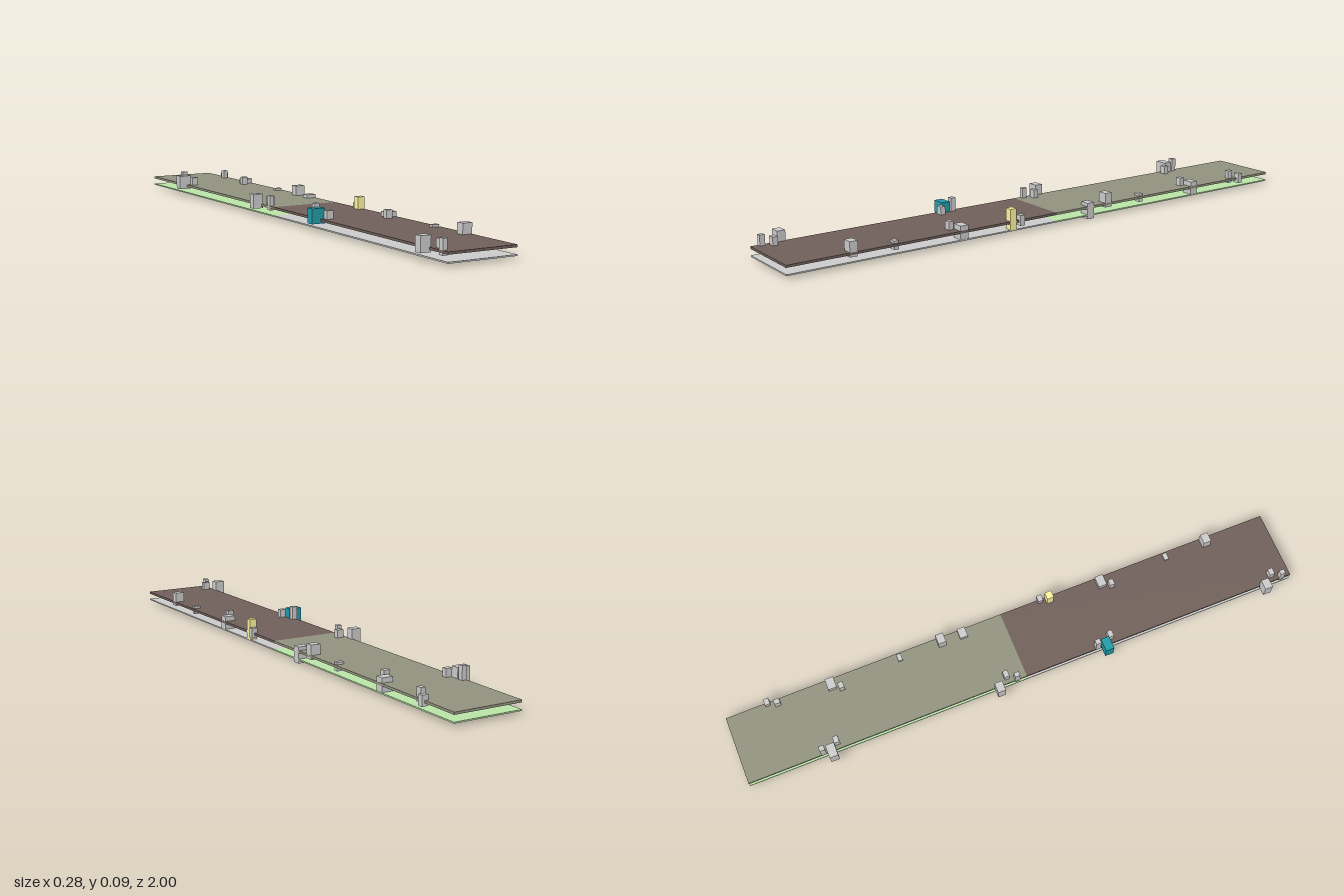
import * as THREE from 'three';

const GREY = 0xcccccc;

export function createModel() {
  const model = new THREE.Group();
  model.name = 'corridorBlockout';
  const materials = new Map();
  const material = (color) => {
    if (!materials.has(color)) {
      materials.set(color, new THREE.MeshStandardMaterial({ color, flatShading: true }));
    }
    return materials.get(color);
  };

  // A box given by its lower and upper limits on each axis
  const block = (parent, name, [x0, x1], [y0, y1], [z0, z1], color = GREY) => {
    const mesh = new THREE.Mesh(new THREE.BoxGeometry(x1 - x0, y1 - y0, z1 - z0), material(color));
    mesh.position.set((x0 + x1) / 2, (y0 + y1) / 2, (z0 + z1) / 2);
    mesh.name = name;
    parent.add(mesh);
  };
  const around = (z, depth) => [z - depth / 2, z + depth / 2];

  // Two stacked decks, each split into a front and a back half
  const width = [-0.113, 0.131];
  const upper = [0.036, 0.044], lower = [0.0105, 0.015];
  block(model, 'upperDeckFront', width, upper, [0, 1], 0x71605a);
  block(model, 'upperDeckBack', width, upper, [-1, 0], 0x91927e);
  block(model, 'lowerDeckFront', width, lower, [0, 1]);
  block(model, 'lowerDeckBack', width, lower, [-1, 0], 0xb9e3a7);

  // Everything on the edges repeats once per half, one unit apart
  for (const half of ['back', 'front']) {
    const front = half === 'front';
    const edge = new THREE.Group();
    edge.name = half + 'EdgeBlocks';
    edge.position.z = front ? 0 : -1;
    model.add(edge);

    // Right edge: cluster with a tall post
    block(edge, 'rightCabinet', [-0.143, -0.096], [0.029, 0.079], around(0.295, 0.03), front ? 0x229ba9 : GREY);
    block(edge, 'rightTallPost', [-0.113, -0.095], [0.04, 0.09], around(0.266, 0.018));
    block(edge, 'rightLowBlock', [-0.099, -0.075], [0.041, 0.072], around(0.32, 0.018));

    // Right edge: cluster with a medium post
    block(edge, 'rightEndCabinet', [-0.143, -0.107], [0.029, 0.079], around(0.897, 0.028));
    block(edge, 'rightEndLowBlock', [-0.099, -0.075], [0.041, 0.072], around(0.933, 0.018));
    block(edge, 'rightEndPost', [-0.113, -0.097], [0.029, 0.079], around(0.966, 0.018));

    // Left edge blocks
    block(edge, 'leftOuterBlock', [0.118, 0.141], [0.026, 0.061], around(0.147, 0.018));
    if (front) block(edge, 'leftTallPost', [0.106, 0.132], [0.015, 0.086], around(0.178, 0.024), 0xfff6a0);
    else block(edge, 'leftPost', [0.105, 0.122], [0.028, 0.073], around(0.18, 0.02));
    block(edge, 'leftWideBlock', [0.09, 0.13], [0.01, 0.061], around(0.37, 0.03));
    block(edge, 'leftInnerBlock', [0.076, 0.098], [0.041, 0.072], around(0.4, 0.018));
    block(edge, 'leftSmallBlock', [0.1, 0.125], [0.023, 0.052], around(0.62, 0.016));
    block(edge, 'leftCabinet', [0.096, 0.131], [0.029, 0.079], around(0.773, 0.028));
    if (!front) block(edge, 'leftHangingBlock', [0.096, 0.132], [0, 0.056], around(0.852, 0.028));
  }
  return model;
}
